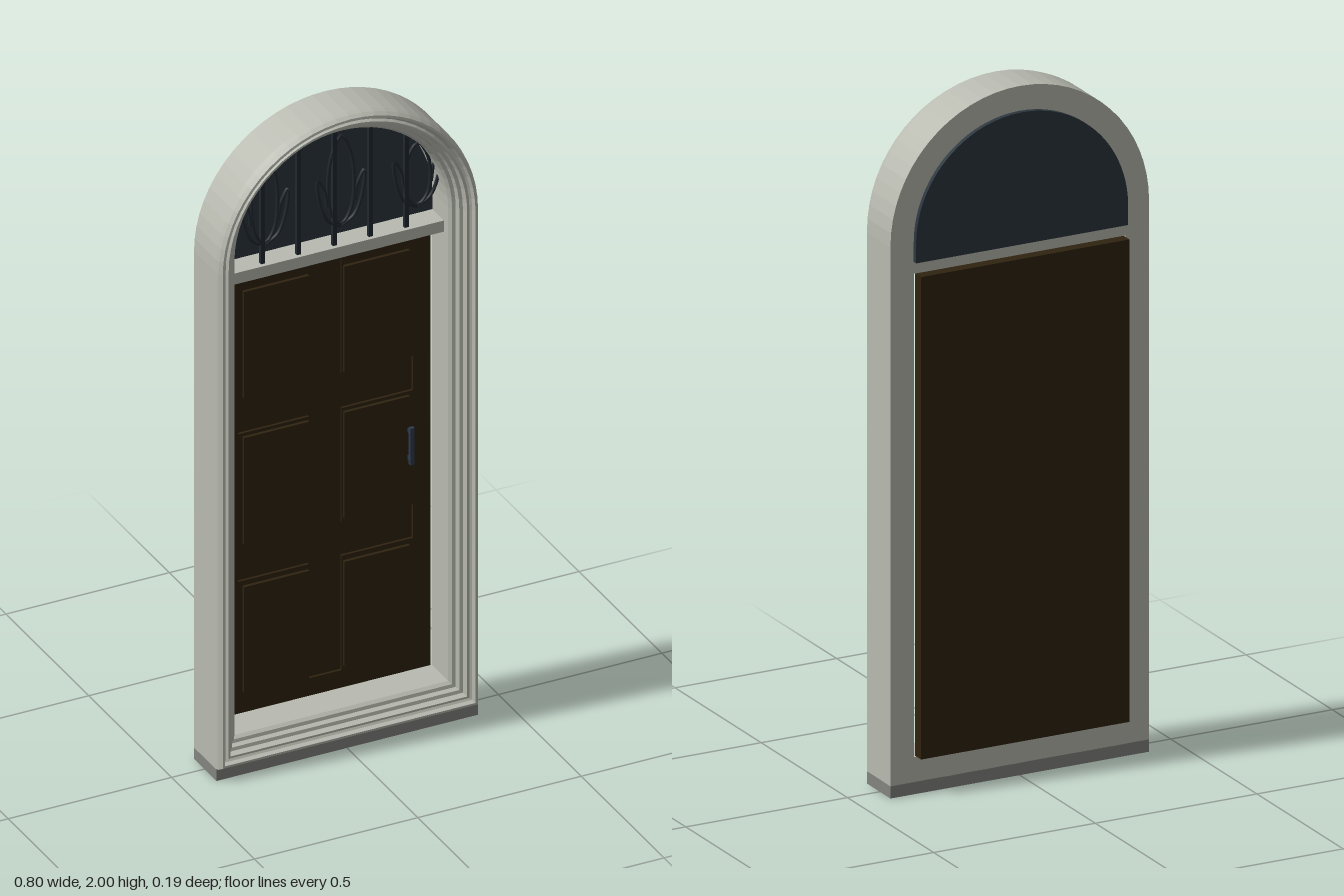
import * as THREE from 'three';

const mat = (name, color) => Object.assign(new THREE.MeshStandardMaterial({ color }), { name });

export function createModel() {
  const stone = mat('pale stone', 0xb9bbb1);
  const sillGrey = mat('sill grey', 0x83857f);
  const wood = mat('dark wood', 0x2f2210);
  const glass = mat('slate glass', 0x2c363f);
  const iron = mat('black iron', 0x20282f);
  const steel = mat('blue steel', 0x2b3a4c);

  const model = new THREE.Group();
  model.name = 'archedDoor';
  const add = (name, geo, material, parent = model) => {
    const m = new THREE.Mesh(geo, material);
    m.name = name;
    parent.add(m);
    return m;
  };
  // Box given by its two extreme corners
  const box = (name, material, x0, x1, y0, y1, z0, z1, parent) => {
    const m = add(name, new THREE.BoxGeometry(x1 - x0, y1 - y0, z1 - z0), material, parent);
    m.position.set((x0 + x1) / 2, (y0 + y1) / 2, (z0 + z1) / 2);
    return m;
  };

  // Frame: stepped moulding swept round an arched outline
  const SPRING = 1.6, BASE = 0.035, INNER = 0.073, SEG = 32;
  const outline = (inset, z) => {
    const r = 0.4 - inset;
    const pts = [[-r, BASE + inset, z], [r, BASE + inset, z]];
    for (let i = 0; i <= SEG; i++) {
      const a = (Math.PI * i) / SEG;
      pts.push([r * Math.cos(a), SPRING + r * Math.sin(a), z]);
    }
    return pts;
  };
  const profile = [
    [0, -0.062], [0, 0.065], [0.003, 0.08], [0.01, 0.092], [0.017, 0.093],
    [0.021, 0.08], [0.027, 0.076], [0.032, 0.084], [0.038, 0.084], [0.042, 0.066],
    [0.052, 0.064], [0.056, 0.05], [0.066, 0.048], [INNER, 0.038], [INNER, -0.062],
  ];
  const loops = profile.map(([d, z]) => outline(d, z));
  const verts = [];
  loops.forEach((loop, j) => {
    const next = loops[(j + 1) % loops.length];
    loop.forEach((a, i) => {
      const k = (i + 1) % loop.length;
      verts.push(...a, ...loop[k], ...next[k], ...a, ...next[k], ...next[i]);
    });
  });
  const frameGeo = new THREE.BufferGeometry();
  frameGeo.setAttribute('position', new THREE.Float32BufferAttribute(verts, 3));
  frameGeo.computeVertexNormals();
  add('frame', frameGeo, stone);

  box('sill', sillGrey, -0.4, 0.4, 0, 0.036, -0.062, 0.073);
  box('transomBar', stone, -0.328, 0.328, 1.51, 1.545, -0.061, 0.012);

  // Door leaf: a slab with a face plate pierced by the sunken stile and rails
  const door = new THREE.Group();
  door.name = 'door';
  model.add(door);
  box('doorSlab', wood, -0.322, 0.322, 0.11, 1.51, -0.094, -0.066, door);
  const face = new THREE.Shape();
  face.moveTo(-0.322, 0.11).lineTo(0.322, 0.11).lineTo(0.322, 1.51).lineTo(-0.322, 1.51);
  const half = [
    [0.05, 0.165], [0.05, 0.525], [0.268, 0.525], [0.268, 0.63], [0.05, 0.63],
    [0.05, 0.99], [0.268, 0.99], [0.268, 1.098], [0.05, 1.098], [0.05, 1.46],
  ];
  const cross = [...half, ...half.map(([x, y]) => [-x, y]).reverse()];
  face.holes.push(new THREE.Path(cross.map(([x, y]) => new THREE.Vector2(x, y))));
  add('doorFace', new THREE.ExtrudeGeometry(face, { depth: 0.008, bevelEnabled: false }), wood, door)
    .position.z = -0.066;

  // Six raised panels
  for (const [y0, y1] of [[0.18, 0.51], [0.645, 0.98], [1.105, 1.44]]) {
    for (const s of [-1, 1]) {
      const x = s * 0.154;
      box('doorPanel', wood, x - 0.1, x + 0.1, y0, y1, -0.06, -0.048, door);
    }
  }

  // Hinges and handle
  for (const y of [0.322, 1.357]) {
    box('hinge', steel, -0.328, -0.313, y - 0.028, y + 0.028, -0.06, -0.04);
  }
  box('handle', steel, 0.244, 0.257, 0.775, 0.89, -0.038, -0.026);
  for (const y of [0.79, 0.875]) {
    box('handleMount', steel, 0.246, 0.255, y - 0.006, y + 0.006, -0.06, -0.036);
  }

  // Fanlight pane
  const pane = new THREE.Shape();
  pane.moveTo(-0.328, 1.545).lineTo(0.328, 1.545).lineTo(0.328, SPRING);
  pane.absarc(0, SPRING, 0.328, 0, Math.PI, false);
  add('fanlight', new THREE.ExtrudeGeometry(pane, { depth: 0.018, bevelEnabled: false, curveSegments: 32 }), glass)
    .position.z = -0.076;

  // Ironwork: upright bars and tulip scrolls
  const grille = new THREE.Group();
  grille.name = 'grille';
  model.add(grille);
  for (let i = -2; i <= 2; i++) {
    const x = i * 0.11;
    const top = SPRING + Math.sqrt(0.335 ** 2 - x * x);
    box('grilleBar', iron, x - 0.006, x + 0.006, 1.543, top, -0.012, 0, grille);
  }
  const tube = (name, pts, closed, x) => {
    const curve = new THREE.CatmullRomCurve3(pts.map(([px, py]) => new THREE.Vector3(px, py, 0)), closed);
    add(name, new THREE.TubeGeometry(curve, 36, 0.005, 6, closed), iron, grille).position.set(x, 0, -0.006);
  };
  const bud = [[0, 1.605], [0.03, 1.645], [0.04, 1.74], [0.028, 1.83], [0, 1.885],
    [-0.028, 1.83], [-0.04, 1.74], [-0.03, 1.645]];
  const leaf = [[0, 1.6], [0.04, 1.625], [0.066, 1.69], [0.072, 1.76], [0.05, 1.72], [0.042, 1.67]];
  for (const x of [-0.213, 0.021, 0.255]) {
    if (x < 0.2) tube('tulipBud', bud, true, x);
    else tube('tulipBud', bud.map(([px, py]) => [px, 1.605 + (py - 1.605) * 0.7]), true, x);
    for (const s of [-1, 1]) tube('tulipLeaf', leaf.map(([px, py]) => [px * s, py]), false, x);
  }
  return model;
}
